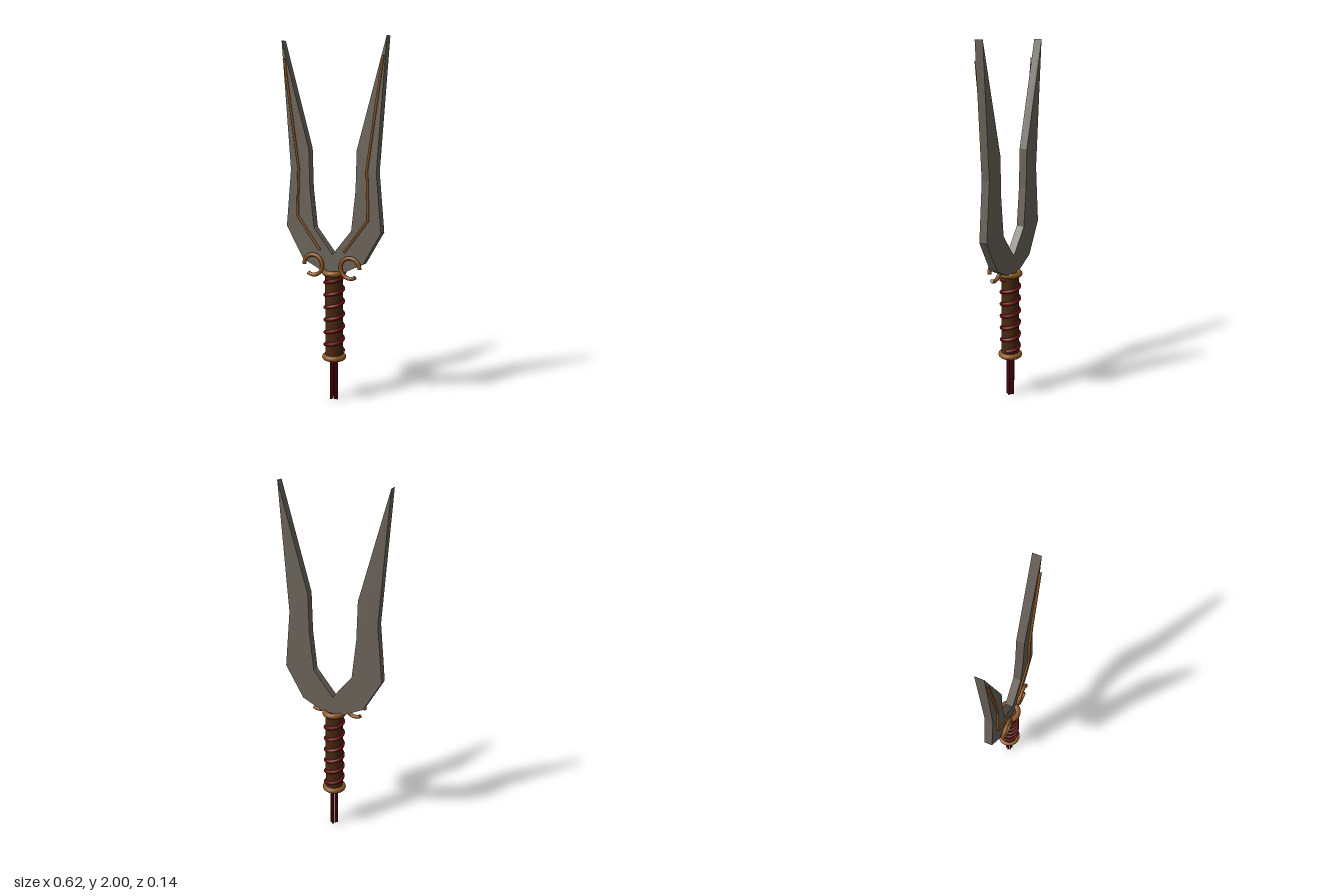
import * as THREE from 'three';

const mat = (name, color) => {
  const m = new THREE.MeshStandardMaterial({ color });
  m.name = name;
  return m;
};

export function createModel() {
  const steel = mat('dull steel', 0x6b645a);
  const bronze = mat('bronze', 0x8b5522);
  const leather = mat('brown leather', 0x4a2810);
  const red = mat('dark red cord', 0x660a0c);

  const model = new THREE.Group();
  model.name = 'forkedBlade';
  const add = (name, geometry, material, x = 0, y = 0, z = 0, parent = model) => {
    const mesh = new THREE.Mesh(geometry, material);
    mesh.name = name;
    mesh.position.set(x, y, z);
    parent.add(mesh);
    return mesh;
  };

  // Forked blade: half outline from the crotch round to the base, mirrored
  const half = [[0.115, 0.98], [0.14, 1.2], [0.146, 1.415], [0.312, 2],
    [0.26, 1.3], [0.29, 0.98], [0.185, 0.8], [0.06, 0.74]];
  const outline = [[0, 0.84], ...half, ...half.map(([x, y]) => [-x, y]).reverse()];
  const shape = new THREE.Shape(outline.map(([x, y]) => new THREE.Vector2(x, y)));
  add('blade', new THREE.ExtrudeGeometry(shape, { depth: 0.045, bevelEnabled: false }), steel, 0, 0, -0.023);

  for (const side of [1, -1]) {
    const name = side > 0 ? 'left' : 'right';

    // Bronze inlay following each prong, front only
    const path = new THREE.CurvePath();
    const pts = [[0.075, 0.86], [0.217, 1.045], [0.208, 1.31], [0.295, 1.9]]
      .map(([x, y]) => new THREE.Vector3(side * x, y, 0.027));
    for (let i = 1; i < pts.length; i++) path.add(new THREE.LineCurve3(pts[i - 1], pts[i]));
    add(name + 'Inlay', new THREE.TubeGeometry(path, 90, 0.007, 8), bronze);

    // Open curl at the base of the prong
    const curl = new THREE.Group();
    curl.name = name + 'Curl';
    curl.position.set(side * 0.114, 0.775, 0.034);
    if (side < 0) curl.rotation.y = Math.PI;
    model.add(curl);
    const arc = Math.PI * 1.69;
    add('curlRing', new THREE.TorusGeometry(0.057, 0.011, 12, 40, arc), bronze, 0, 0, 0, curl);
    for (const [a, turn] of [[0, Math.PI / 2], [arc, -Math.PI / 2]]) {
      const cap = add('curlCap', new THREE.CircleGeometry(0.011, 12), bronze,
        0.057 * Math.cos(a), 0.057 * Math.sin(a), 0, curl);
      cap.rotation.set(turn, 0, 0);
      cap.rotation.order = 'ZXY';
      cap.rotation.z = a;
    }
  }

  // Grip with a collar at each end
  add('grip', new THREE.CylinderGeometry(0.05, 0.05, 0.5, 24), leather, 0, 0.49, 0);
  for (const [name, y] of [['upperCollar', 0.735], ['pommelCollar', 0.25]]) {
    add(name, new THREE.TorusGeometry(0.052, 0.016, 12, 36).rotateX(Math.PI / 2), bronze, 0, y, 0);
  }

  // Cord wound six times round the grip
  const turns = 6;
  const helix = [];
  for (let i = 0; i <= turns * 16; i++) {
    const a = (i / 16) * Math.PI * 2;
    helix.push(new THREE.Vector3(0.05 * Math.cos(a), 0.28 + (0.43 * i) / (turns * 16), -0.05 * Math.sin(a)));
  }
  add('gripCord', new THREE.TubeGeometry(new THREE.CatmullRomCurve3(helix), 200, 0.011, 8), red);

  // Hanging tassel strands
  const tassel = new THREE.Group();
  tassel.name = 'tassel';
  model.add(tassel);
  for (let i = 0; i < 8; i++) {
    const a = (i / 8) * Math.PI * 2;
    const length = 0.232 - (i % 3) * 0.004;
    add('strand', new THREE.CylinderGeometry(0.006, 0.006, length, 8), red,
      0.018 * Math.cos(a), 0.232 - length / 2, 0.018 * Math.sin(a), tassel);
  }
  return model;
}
